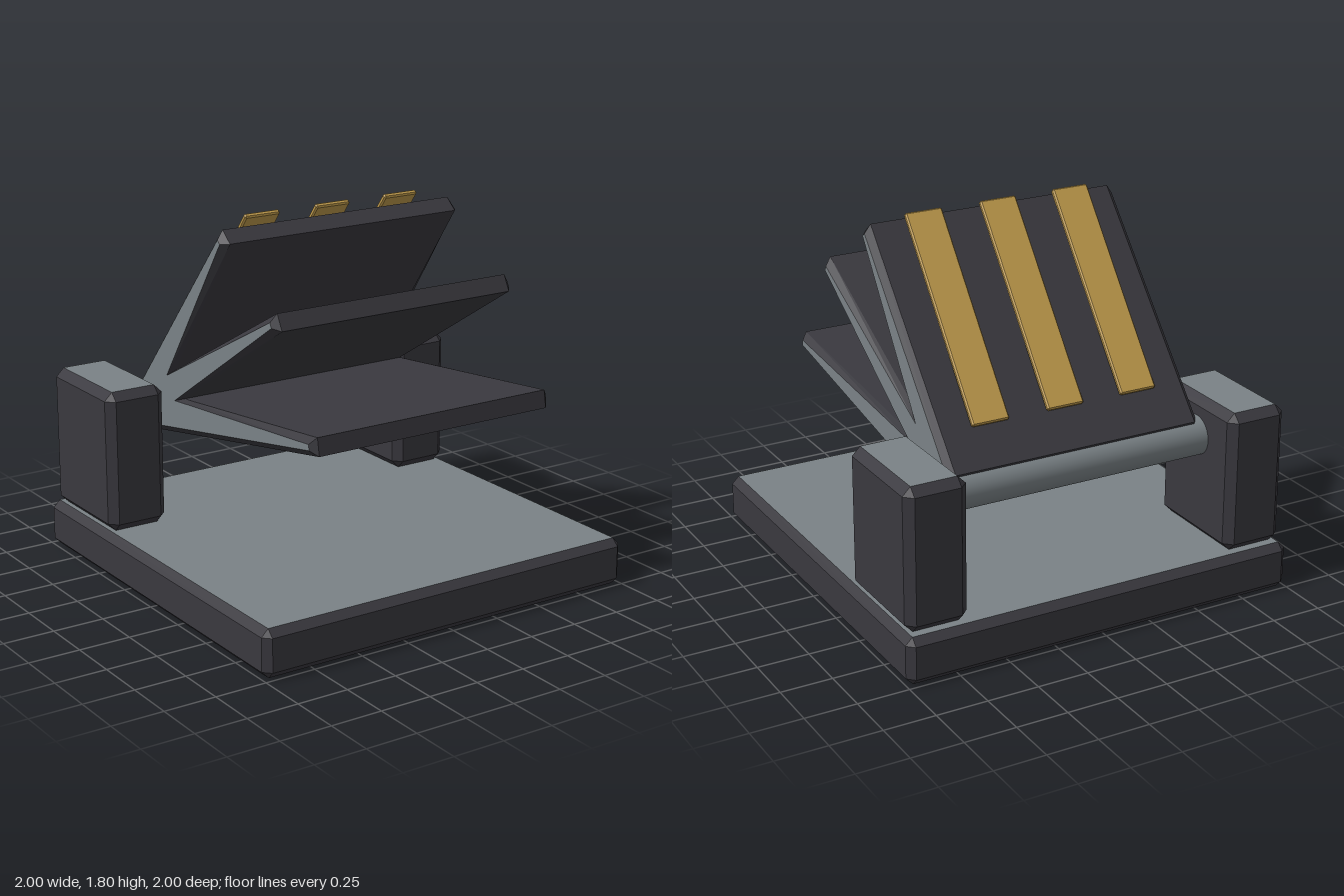
import * as THREE from 'three';
import { ConvexGeometry } from 'three/addons/geometries/ConvexGeometry.js';

const darkCasing = new THREE.MeshStandardMaterial({ color: 0x3a393f });
const greyMetal = new THREE.MeshStandardMaterial({ color: 0x7a8286 });
const gold = new THREE.MeshStandardMaterial({ color: 0xc09b4c });
darkCasing.name = 'dark casing';
greyMetal.name = 'grey metal';
gold.name = 'gold';

// Box with chamfered edges; group 0 = top and bottom faces, group 1 = the rest
function chamferBox(w, h, d, c) {
  const points = [];
  const half = [w / 2, h / 2, d / 2];
  for (const sx of [-1, 1]) for (const sy of [-1, 1]) for (const sz of [-1, 1]) {
    for (let axis = 0; axis < 3; axis++) {
      const p = half.map((v, i) => (i === axis ? v : v - c));
      points.push(new THREE.Vector3(p[0] * sx, p[1] * sy, p[2] * sz));
    }
  }
  const hull = new ConvexGeometry(points);
  const pos = hull.attributes.position.array;
  const normal = hull.attributes.normal;
  const caps = [], sides = [];
  for (let i = 0; i < normal.count; i += 3) {
    const list = Math.abs(normal.getY(i)) > 0.99 ? caps : sides;
    list.push(...pos.slice(i * 3, i * 3 + 9));
  }
  const geo = new THREE.BufferGeometry();
  geo.setAttribute('position', new THREE.Float32BufferAttribute([...caps, ...sides], 3));
  geo.computeVertexNormals();
  geo.addGroup(0, caps.length / 3, 0);
  geo.addGroup(caps.length / 3, sides.length / 3, 1);
  return geo;
}

export function createModel() {
  const model = new THREE.Group();
  const add = (name, geo, material, x = 0, y = 0, z = 0) => {
    const mesh = new THREE.Mesh(geo, material);
    mesh.name = name;
    mesh.position.set(x, y, z);
    model.add(mesh);
    return mesh;
  };

  // Base plate
  add('base', chamferBox(2, 0.23, 2, 0.035), [greyMetal, darkCasing], 0, 0.115, 0);

  // Two support posts at the back
  for (const [side, name] of [[1, 'leftPost'], [-1, 'rightPost']]) {
    add(name, chamferBox(0.305, 0.69, 0.57, 0.04), [greyMetal, darkCasing], side * 0.828, 0.575, -0.675);
  }

  // Axle between the posts
  add('axle', new THREE.CylinderGeometry(0.096, 0.096, 1.4, 32).rotateZ(Math.PI / 2), greyMetal, 0, 0.735, -0.68);

  // Three fanned blades from one side profile (z, y), extruded across the width
  const profile = [
    [-0.645, 0.664], [0.815, 0.928], [0.81, 0.955],
    [-0.34, 0.853],
    [0.52, 1.405], [0.508, 1.428],
    [-0.41, 0.96],
    [0.095, 1.695], [0.075, 1.712],
    [-0.7, 0.82],
  ].map(([z, y]) => new THREE.Vector2(z, y));
  const blades = new THREE.ExtrudeGeometry(new THREE.Shape(profile), {
    depth: 1.25, bevelEnabled: true, bevelThickness: 0.03, bevelSize: 0.03, bevelSegments: 1,
  });
  blades.translate(0, 0, -0.625).rotateY(-Math.PI / 2);
  add('blades', blades, [greyMetal, darkCasing]);

  // Gold strips along the back of the top blade
  for (const i of [-1, 0, 1]) {
    const strip = add('strip', chamferBox(0.187, 1.03, 0.026, 0.007), [gold, gold], i * 0.385, 1.388, -0.295);
    strip.rotation.x = 0.668;
  }

  return model;
}
